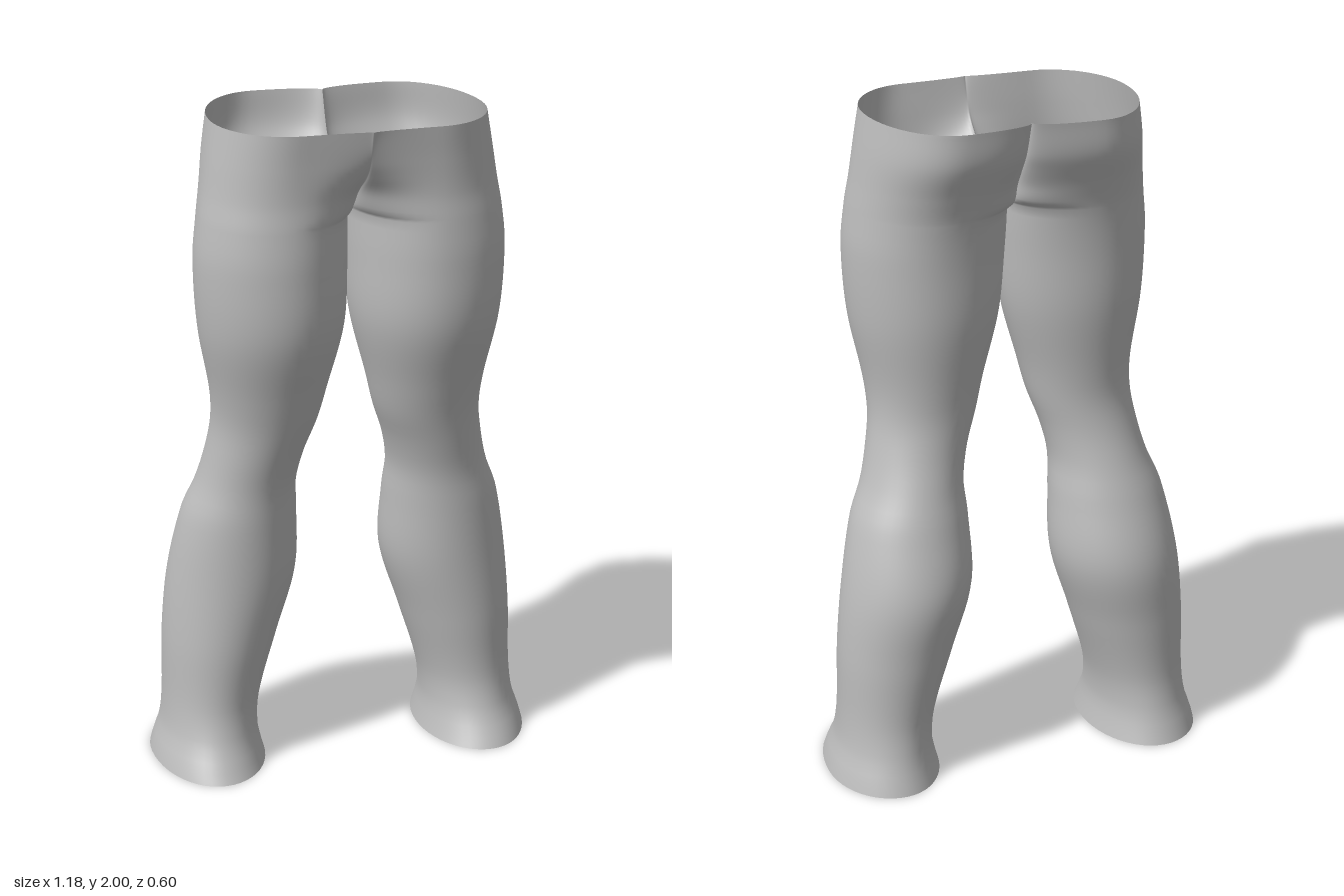
import * as THREE from 'three';
import { mergeVertices } from 'three/addons/utils/BufferGeometryUtils.js';

// Leg sections: y, inner x, outer x, front z, back z, z of inner point, z of outer point
const SECTIONS = [
  [0.00, 0.25, 0.59, 0.20, -0.30, -0.05, -0.08],
  [0.04, 0.26, 0.58, 0.175, -0.285, -0.05, -0.08],
  [0.10, 0.27, 0.56, 0.14, -0.265, -0.05, -0.08],
  [0.20, 0.26, 0.55, 0.115, -0.25, -0.06, -0.08],
  [0.40, 0.20, 0.545, 0.12, -0.26, -0.07, -0.08],
  [0.60, 0.14, 0.525, 0.125, -0.27, -0.07, -0.07],
  [0.80, 0.14, 0.485, 0.13, -0.215, -0.05, -0.04],
  [0.90, 0.145, 0.445, 0.135, -0.18, -0.03, -0.02],
  [1.00, 0.125, 0.42, 0.155, -0.15, -0.01, 0.0],
  [1.10, 0.09, 0.405, 0.18, -0.135, 0.01, 0.02],
  [1.20, 0.065, 0.41, 0.21, -0.14, 0.02, 0.04],
  [1.40, 0.015, 0.445, 0.27, -0.165, 0.02, 0.06],
  [1.60, 0.002, 0.455, 0.28, -0.175, 0.0, 0.07],
  [1.72, 0.0, 0.443, 0.275, -0.19, -0.01, 0.07],
  [1.80, 0.0, 0.43, 0.27, -0.215, 0.0, 0.06],
  [1.90, 0.0, 0.415, 0.275, -0.255, 0.0, 0.05],
  [2.00, 0.0, 0.398, 0.285, -0.265, 0.0, 0.04],
];

// Centre seam above the crotch: y, front z, back z
const CROTCH_Y = 1.72;
const SEAM = [
  [1.72, -0.01, -0.01], [1.74, 0.06, -0.08], [1.80, 0.14, -0.11],
  [1.85, 0.22, -0.145], [1.90, 0.265, -0.18], [2.00, 0.30, -0.22],
];

// Cubic interpolation of a table row at height y
function sample(table, y) {
  let i = 0;
  while (i < table.length - 2 && y > table[i + 1][0]) i++;
  const p1 = table[i], p2 = table[i + 1];
  const p0 = table[i - 1] || p1, p3 = table[i + 2] || p2;
  const h = p2[0] - p1[0], t = (y - p1[0]) / h;
  return p1.map((v, k) => {
    const m1 = (p2[k] - p0[k]) / (p2[0] - p0[0]) * h;
    const m2 = (p3[k] - p1[k]) / (p3[0] - p1[0]) * h;
    return (2 * t ** 3 - 3 * t * t + 1) * v + (t ** 3 - 2 * t * t + t) * m1 +
      (3 * t * t - 2 * t ** 3) * p2[k] + (t ** 3 - t * t) * m2;
  });
}

// Four quarter ellipses: inner front, outer front, outer back, inner back
function ring(y, quarter) {
  const [, inner, outer, front, back, zi, zo] = sample(SECTIONS, y);
  let seamFront = zi, seamBack = zi;
  if (y > CROTCH_Y) [, seamFront, seamBack] = sample(SEAM, y);
  const cx = (inner + outer) / 2, r = (outer - inner) / 2;
  const points = [];
  for (let i = 0; i <= quarter * 4; i++) {
    const a = (i / quarter) * Math.PI / 2;
    const isFront = i <= quarter * 2;
    const isInner = i < quarter || i > quarter * 3;
    const side = isInner ? (isFront ? seamFront : seamBack) : zo;
    const peak = isFront ? front : back;
    points.push([cx - r * Math.cos(a), side + (peak - side) * Math.abs(Math.sin(a))]);
  }
  return points;
}

// One trouser leg with its half of the hips; sign mirrors it
function legGeometry(sign) {
  const quarter = 12, rowLength = quarter * 4 + 1;
  const heights = [];
  for (let i = 0; i < 60; i++) heights.push(CROTCH_Y * i / 60);
  for (let i = 0; i <= 28; i++) heights.push(CROTCH_Y + 0.28 * i / 28);
  const positions = [], index = [];
  heights.forEach((y, row) => {
    for (const [x, z] of ring(y, quarter)) positions.push(sign * x, y, z);
    if (row === 0) return;
    for (let i = 0; i < rowLength - 1; i++) {
      const a = (row - 1) * rowLength + i, b = a + 1, c = a + rowLength, d = c + 1;
      if (sign > 0) index.push(a, b, d, a, d, c);
      else index.push(a, d, b, a, c, d);
    }
  });
  let geometry = new THREE.BufferGeometry();
  geometry.setAttribute('position', new THREE.Float32BufferAttribute(positions, 3));
  geometry.setIndex(index);
  geometry = mergeVertices(geometry, 1e-5);
  geometry.computeVertexNormals();

  // Blend the two halves smoothly along the front seam
  const p = geometry.attributes.position, n = geometry.attributes.normal;
  const v = new THREE.Vector3();
  for (let i = 0; i < p.count; i++) {
    if (Math.abs(p.getX(i)) < 1e-5 && p.getY(i) > CROTCH_Y + 0.005 && p.getZ(i) > 0) {
      v.set(0, n.getY(i), n.getZ(i)).normalize();
      n.setXYZ(i, v.x, v.y, v.z);
    }
  }
  return geometry;
}

export function createModel() {
  const group = new THREE.Group();
  group.name = 'trousers';
  const cloth = new THREE.MeshStandardMaterial({ color: 0xbcbcbc, side: THREE.DoubleSide });
  cloth.name = 'grey cloth';
  for (const [name, sign] of [['leftLeg', 1], ['rightLeg', -1]]) {
    const leg = new THREE.Mesh(legGeometry(sign), cloth);
    leg.name = name;
    group.add(leg);
  }
  return group;
}
